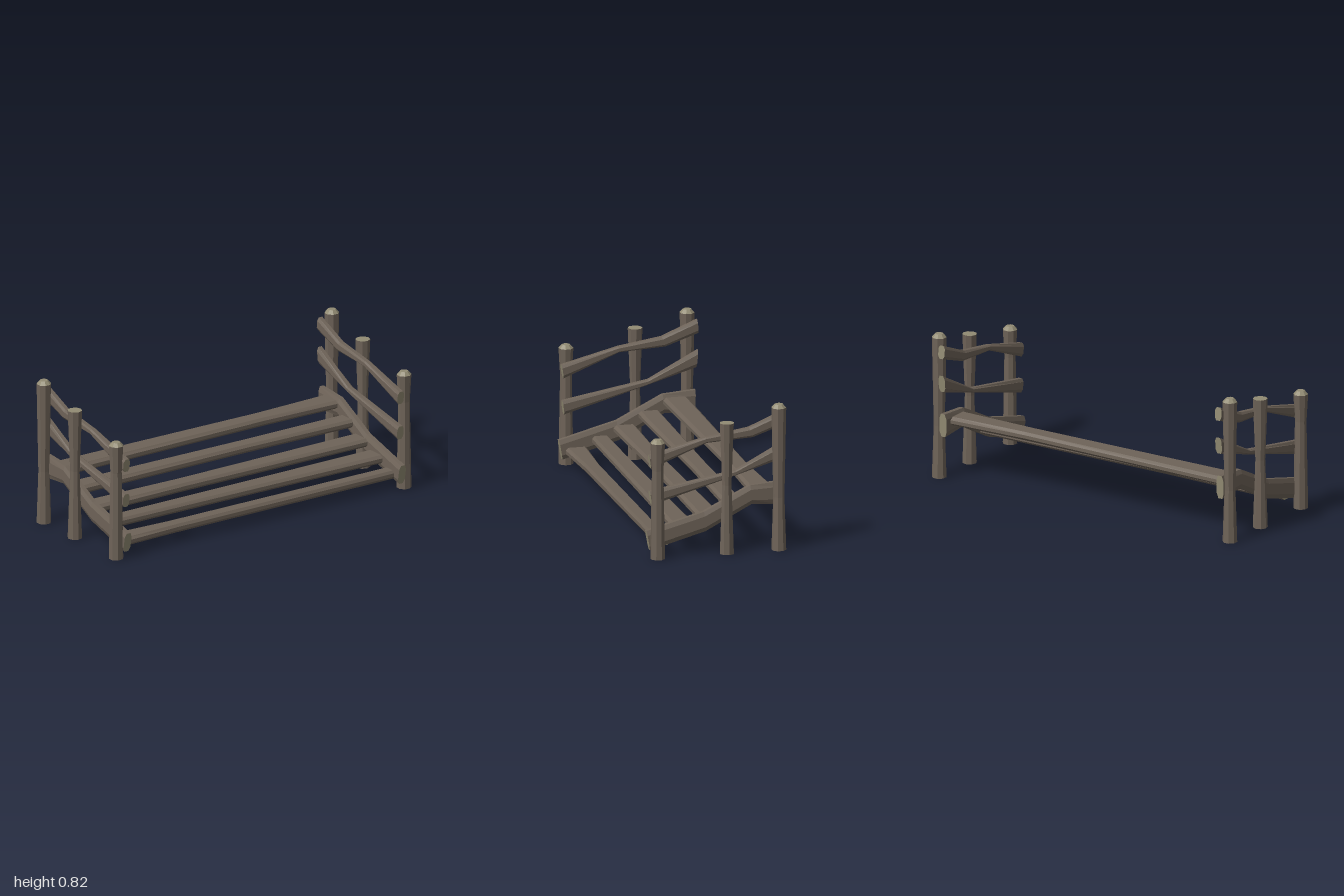
import * as THREE from 'three';

const wood = new THREE.MeshStandardMaterial({ color: 0x6e6358 });
wood.name = 'weathered wood';
const cut = new THREE.MeshStandardMaterial({ color: 0x928b73 });
cut.name = 'cut wood';

// Faceted beam through matching rings of points; cut wood on both end faces.
function beam(name, rings) {
  const pos = [];
  const tri = (...pts) => pts.forEach((p) => pos.push(p.x, p.y, p.z));
  const n = rings[0].length;
  for (let r = 0; r < rings.length - 1; r++) {
    const p = rings[r], q = rings[r + 1];
    for (let i = 0; i < n; i++) {
      const j = (i + 1) % n;
      tri(p[i], p[j], q[j]);
      tri(p[i], q[j], q[i]);
    }
  }
  const sides = pos.length / 3;
  const first = rings[0], last = rings[rings.length - 1];
  for (let i = 1; i < n - 1; i++) {
    tri(first[0], first[i + 1], first[i]);
    tri(last[0], last[i], last[i + 1]);
  }
  const g = new THREE.BufferGeometry();
  g.setAttribute('position', new THREE.Float32BufferAttribute(pos, 3));
  g.addGroup(0, sides, 0);
  g.addGroup(sides, pos.length / 3 - sides, 1);
  g.computeVertexNormals();
  const mesh = new THREE.Mesh(g, [wood, cut]);
  mesh.name = name;
  return mesh;
}

// Chamfered rectangle in units of -1..1, counter-clockwise.
function chamfered(ca, cb) {
  const a = 1 - ca, b = 1 - cb;
  return [[1, -b], [1, b], [a, 1], [-a, 1], [-1, b], [-1, -b], [-a, -1], [a, -1]];
}

// Rail running front to back; stations are [topZ, topY, bottomZ, bottomY].
function rail(name, x, halfWidth, stations) {
  const section = chamfered(0.45, 0.45);
  return beam(name, stations.map(([tz, ty, bz, by]) => section.map(([a, b]) => {
    const k = (b + 1) / 2;
    return new THREE.Vector3(x - a * halfWidth, by + (ty - by) * k, bz + (tz - bz) * k);
  })));
}

// Slat running left to right; stations are [x, backZ, frontZ].
function slat(name, y, stations) {
  const section = chamfered(0.26, 0.6);
  return beam(name, stations.map(([x, z0, z1]) => section.map(([a, b]) =>
    new THREE.Vector3(x, y + b * 0.024, (z0 + z1) / 2 - a * (z1 - z0) / 2))));
}

function lathe(name, profile, material) {
  const g = new THREE.LatheGeometry(profile.map(([r, y]) => new THREE.Vector2(r, y)), 8).toNonIndexed();
  g.computeVertexNormals();
  const mesh = new THREE.Mesh(g, material);
  mesh.name = name;
  return mesh;
}

// Eight-sided post with a narrow waist and a pale cut top.
function post(name, x, z, waistY, waistR, topY, capHeight, turn) {
  const R = 0.041;
  const g = new THREE.Group();
  g.name = name;
  g.add(lathe('postShaft', [[0, 0], [R, 0], [waistR, waistY], [R, topY]], wood));
  const cap = capHeight
    ? [[R, topY], [0.023, topY + capHeight], [0, topY + capHeight]]
    : [[R, topY], [0, topY]];
  g.add(lathe('postCap', cap, cut));
  g.position.set(x, 0, z);
  g.rotation.y = turn;
  return g;
}

export function createModel() {
  const model = new THREE.Group();
  model.name = 'bedFrame';

  for (const [label, s] of [['left', 1], ['right', -1]]) {
    const end = new THREE.Group();
    end.name = label + 'EndFrame';

    // Posts
    end.add(post('frontPost', s * 0.958, 0.34, 0.5, 0.032, 0.655, 0.02, s * 0.33));
    end.add(post('middlePost', s * 0.958, -0.05, 0.39, 0.027, 0.74, 0, s * 0.1));
    end.add(post('backPost', s * 0.958, -0.343, 0.3, 0.031, 0.805, 0.02, s * 0.39));

    // Crooked rails
    end.add(rail('lowerRail', s * 0.913, 0.023, [
      [0.395, 0.15, 0.375, 0.04],
      [0.07, 0.235, 0.06, 0.125],
      [-0.19, 0.365, -0.2, 0.26],
      [-0.375, 0.378, -0.37, 0.245],
    ]));
    end.add(rail('middleRail', s * 0.912, 0.021, [
      [0.375, 0.372, 0.365, 0.295],
      [-0.11, 0.455, -0.1, 0.425],
      [-0.39, 0.602, -0.38, 0.507],
    ]));
    end.add(rail('upperRail', s * 0.912, 0.021, [
      [0.38, 0.575, 0.368, 0.5],
      [0.06, 0.655, 0.055, 0.624],
      [-0.185, 0.692, -0.205, 0.637],
      [-0.385, 0.775, -0.392, 0.7],
    ]));
    model.add(end);
  }

  // Slats, stepping down from back to front
  const slats = [
    [0.325, [[-0.91, -0.333, -0.19], [0.42, -0.312, -0.205], [0.91, -0.333, -0.19]]],
    [0.26, [[-0.91, -0.172, -0.05], [0.2, -0.155, -0.06], [0.91, -0.16, -0.047]]],
    [0.19, [[-0.91, -0.037, 0.09], [-0.3, -0.02, 0.08], [0.91, -0.037, 0.092]]],
    [0.138, [[-0.91, 0.118, 0.21], [0.2, 0.108, 0.222], [0.91, 0.1, 0.235]]],
    [0.083, [[-0.91, 0.235, 0.36], [-0.55, 0.257, 0.343], [0.91, 0.262, 0.34]]],
  ];
  slats.forEach(([y, stations], i) => model.add(slat('slat' + (i + 1), y, stations)));

  return model;
}
